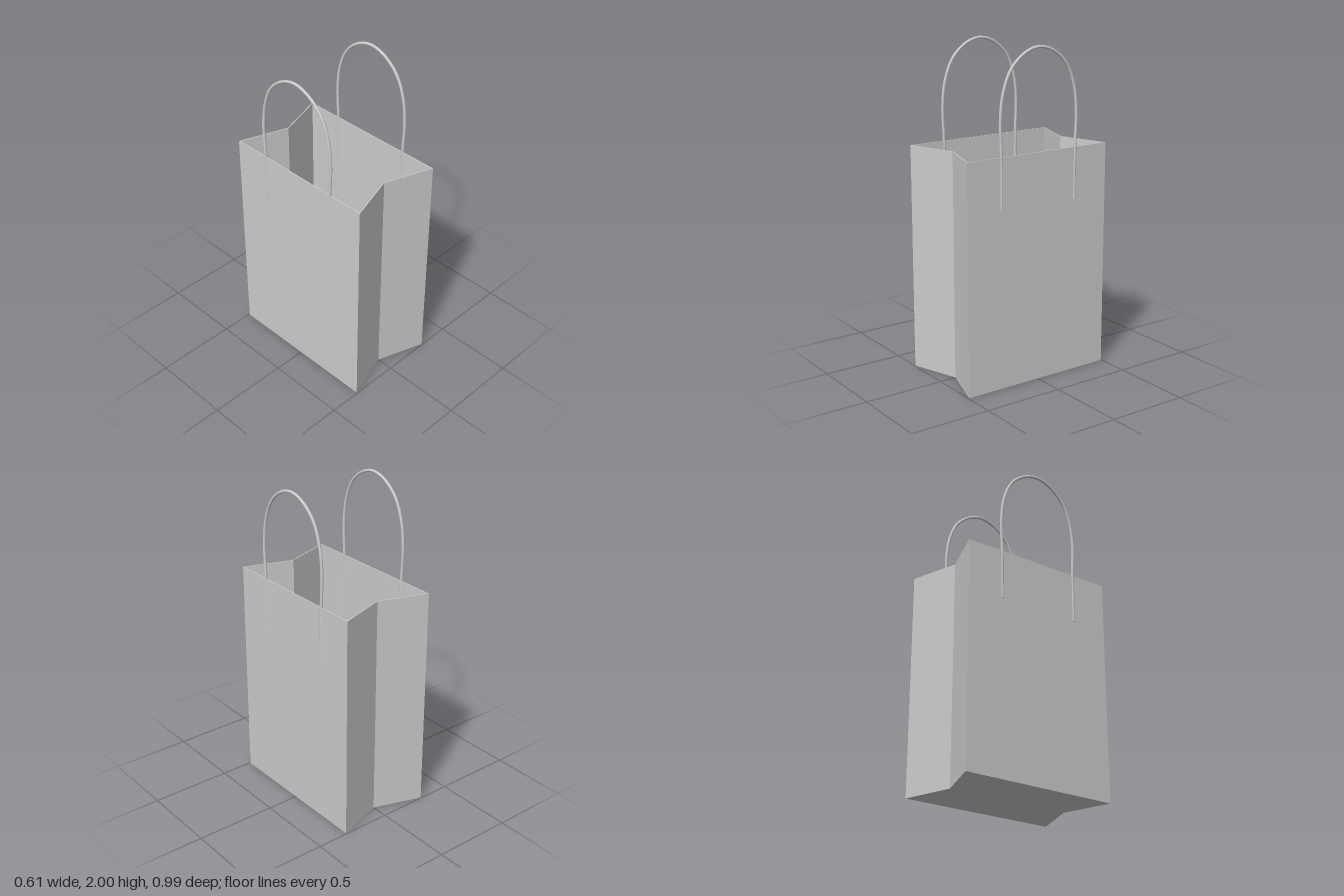
import * as THREE from 'three';

const HEIGHT = 1.39;   // bag height
const HALF_W = 0.3;    // half width in x
const CORNER_Z = 0.495; // z of the corners
const FOLD_Z = 0.395;  // z of the inward gusset fold
const WALL = 0.006;    // paper thickness

// Six-sided bag outline, inset by the paper thickness t
function outline(t) {
  const slope = (CORNER_Z - FOLD_Z) / HALF_W;
  const fold = FOLD_Z - t * Math.hypot(1, slope);
  const w = HALF_W - t;
  const corner = fold + slope * w;
  return [[w, corner], [0, fold], [-w, corner], [-w, -corner], [0, -fold], [w, -corner]]
    .map(([x, y]) => new THREE.Vector2(x, y));
}

// Extrude a shape upwards from height y
function extrudeUp(shape, y, height) {
  return new THREE.ExtrudeGeometry(shape, { depth: height, bevelEnabled: false })
    .rotateX(-Math.PI / 2)
    .translate(0, y, 0);
}

export function createModel() {
  const bag = new THREE.Group();
  bag.name = 'paperBag';
  const paper = new THREE.MeshStandardMaterial({ color: 0xcccccc });
  paper.name = 'paper grey';

  function add(name, geometry) {
    const mesh = new THREE.Mesh(geometry, paper);
    mesh.name = name;
    bag.add(mesh);
    return mesh;
  }

  // Bottom panel
  add('floor', extrudeUp(new THREE.Shape(outline(0)), 0, WALL));

  // Side panels and folded gussets, open at the top
  const ring = new THREE.Shape(outline(0));
  ring.holes.push(new THREE.Path(outline(WALL)));
  add('walls', extrudeUp(ring, WALL, HEIGHT - WALL));

  // Rope handles: one half of the arch, mirrored
  const half = [[0.262, 1.08], [0.262, 1.25], [0.263, 1.4], [0.269, 1.6], [0.25, 1.75], [0.195, 1.88], [0.1, 1.963]];
  const path = [...half, [0, 1.991], ...half.slice().reverse().map(([z, y]) => [-z, y])];
  const radius = 0.009;
  for (const side of [-1, 1]) {
    const x = side * 0.297;
    const curve = new THREE.CatmullRomCurve3(path.map(([z, y]) => new THREE.Vector3(x, y, z)));
    const name = side > 0 ? 'leftHandle' : 'rightHandle';
    add(name, new THREE.TubeGeometry(curve, 64, radius, 12));

    // Flat caps on the rope ends
    for (const end of [-1, 1]) {
      const cap = new THREE.CircleGeometry(radius, 12).rotateX(Math.PI / 2);
      add(name + 'End', cap).position.set(x, 1.08, end * 0.262);
    }
  }
  return bag;
}
